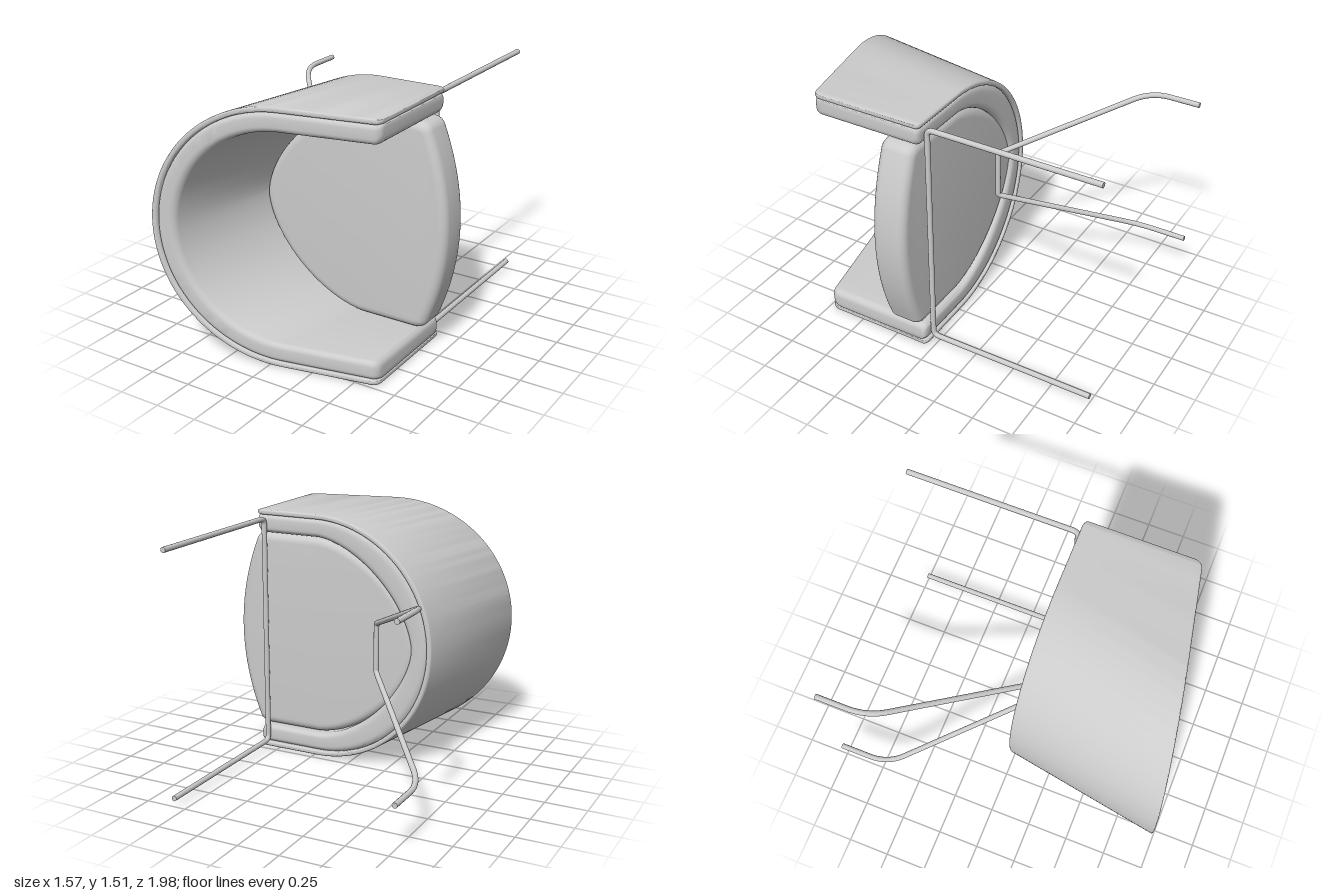
import * as THREE from 'three';
import { toCreasedNormals } from 'three/addons/utils/BufferGeometryUtils.js';

const grey = new THREE.MeshStandardMaterial({ color: 0xcccccc });
const HALF = 0.755, FRONT = 0.63, BOTTOM = 0.04;
const lerp = THREE.MathUtils.lerp;

function mesh(name, geometry) {
  const m = new THREE.Mesh(geometry, grey);
  m.name = name;
  return m;
}

// Half-round with exponent n (2 = circle); a runs from 0 (left side) to PI (right side)
function arcPoint(a, cx, rx, ry, n) {
  const s = Math.sin(a), c = Math.cos(a);
  return [cx - rx * Math.pow(Math.max(s, 0), 2 / n), ry * Math.sign(c) * Math.pow(Math.abs(c), 2 / n)];
}

// Point on the U-shaped path, d inward from the outside, at the rim or at the bottom
function pathPoint(st, d, atRim) {
  const cx = atRim ? 0.075 : 0.235;
  const n = atRim ? 2 : lerp(2, 1.62, THREE.MathUtils.clamp((d - 0.03) / 0.11, 0, 1));
  const r = HALF - d;
  if (st.side) return [lerp(cx, FRONT - st.back, st.f), st.side * r];
  return arcPoint(st.a, cx, r, r, n);
}

// Stations from the left front end, round the back, to the right front end
function stations(endRadius) {
  const end = [];
  for (let i = 0; i <= 6; i++) {
    const a = (i / 6) * Math.PI / 2;
    end.push({ f: 1, back: endRadius * (1 - Math.cos(a)), inset: 1 - Math.sin(a) });
  }
  for (let i = 5; i >= 1; i--) end.push({ f: i / 6, back: endRadius, inset: 0 });
  const list = end.map((e) => ({ ...e, side: 1 }));
  for (let i = 0; i <= 72; i++) list.push({ a: (i / 72) * Math.PI, inset: 0 });
  return list.concat(end.map((e) => ({ ...e, side: -1 })).reverse());
}

// One layer of the wraparound wall: a rounded section swept round the U
function wallLayer(dOut, dIn, r, low, drop, inset) {
  const pos = [], idx = [], list = stations(0.04);
  let count = 0;
  for (const st of list) {
    const d0 = dOut + inset.out * st.inset, d1 = dIn - inset.inn * st.inset;
    const loop = [];
    // corners: outer bottom, outer top, inner top, inner bottom
    [[d0, 0, 1, -1], [d0, 1, 1, 1], [d1, 1, -1, 1], [d1, 0, -1, -1]].forEach(([d, top, sd, sz], q) => {
      for (let i = 0; i <= 5; i++) {
        const a = (i / 5) * Math.PI / 2;
        const away = q % 2 ? Math.cos(a) : Math.sin(a);
        const rise = q % 2 ? Math.sin(a) : Math.cos(a);
        loop.push([d + sd * r * (1 - away), top, sz * r * (rise - 1)]);
      }
    });
    count = loop.length;
    for (const [d, top, dz] of loop) {
      const A = pathPoint(st, d, true), B = pathPoint(st, d, false);
      const zRim = 0.85 - 0.2 * A[0] - drop;
      const z = (top ? zRim - inset.top * st.inset : low + inset.bottom * st.inset) + dz;
      const t = (z - BOTTOM) / (zRim - BOTTOM);
      pos.push(lerp(B[0], A[0], t), lerp(B[1], A[1], t), z);
    }
  }
  for (let i = 0; i < list.length - 1; i++) {
    for (let j = 0; j < count; j++) {
      const k = (j + 1) % count, a = i * count, b = a + count;
      idx.push(a + j, b + j, b + k, a + j, b + k, a + k);
    }
  }
  // flat end faces
  const last = (list.length - 1) * count;
  for (let j = 1; j < count - 1; j++) {
    idx.push(0, j, j + 1, last, last + j + 1, last + j);
  }
  const g = new THREE.BufferGeometry();
  g.setAttribute('position', new THREE.Float32BufferAttribute(pos, 3));
  g.setIndex(idx);
  return toCreasedNormals(g, 0.65);
}

function seatGeometry() {
  const s = new THREE.Shape();
  s.moveTo(0.58, -0.613);
  s.quadraticCurveTo(0.65, -0.613, 0.667, -0.56);
  s.quadraticCurveTo(0.893, 0, 0.667, 0.56);
  s.quadraticCurveTo(0.65, 0.613, 0.58, 0.613);
  for (let i = 0; i <= 48; i++) s.lineTo(...arcPoint((i / 48) * Math.PI, 0.25, 0.665, 0.613, 1.68));
  s.closePath();
  const g = new THREE.ExtrudeGeometry(s, {
    depth: 0.115, bevelThickness: 0.05, bevelSize: 0.05, bevelOffset: -0.05, bevelSegments: 6, curveSegments: 24,
  });
  g.translate(0, 0, 0.115);
  return toCreasedNormals(g, 0.7);
}

// Bent round rod through corner points; bends[i] is the trim at inner corner i
function rod(name, corners, bends, radius) {
  const p = corners.map((c) => new THREE.Vector3(...c));
  const path = new THREE.CurvePath();
  let from = p[0];
  for (let i = 1; i < p.length - 1; i++) {
    const a = p[i].clone().add(p[i - 1].clone().sub(p[i]).setLength(bends[i - 1]));
    const b = p[i].clone().add(p[i + 1].clone().sub(p[i]).setLength(bends[i - 1]));
    path.add(new THREE.LineCurve3(from, a));
    path.add(new THREE.QuadraticBezierCurve3(a, p[i], b));
    from = b;
  }
  path.add(new THREE.LineCurve3(from, p[p.length - 1]));
  const group = new THREE.Group();
  group.name = name;
  group.add(mesh(name + 'Rod', new THREE.TubeGeometry(path, 240, radius, 14, false)));
  // foot caps
  for (const e of [p[0], p[p.length - 1]]) {
    const cap = mesh(name + 'Foot', new THREE.CircleGeometry(radius, 14).rotateY(Math.PI));
    cap.position.copy(e);
    group.add(cap);
  }
  return group;
}

export function createModel() {
  const model = new THREE.Group();
  model.name = 'tubChair';
  const body = new THREE.Group();
  body.name = 'chairBody';
  body.position.y = HALF;
  model.add(body);

  // wraparound back and arms: thin outer shell with a thicker pad inside
  body.add(mesh('outerShell', wallLayer(0, 0.031, 0.011, BOTTOM, 0, { out: 0.006, inn: 0.006, top: 0.04, bottom: 0.02 })));
  body.add(mesh('innerPad', wallLayer(0.029, 0.14, 0.032, 0.045, 0, { out: 0.006, inn: 0.04, top: 0.04, bottom: 0.02 })));
  body.add(mesh('seatCushion', seatGeometry()));

  // front legs joined by a cross bar
  body.add(rod('frontLegs', [[0.57, 0.705, -1], [0.57, 0.705, 0.026], [0.57, -0.705, 0.026], [0.57, -0.705, -1]],
    [0.04, 0.04], 0.016));

  // splayed back legs joined by a short bar
  const half = [[-0.77, 0.48, -0.98], [-0.77, 0.48, -0.675], [-0.18, 0.15, 0.026]];
  const other = half.map(([x, y, z]) => [x, -y, z]).reverse();
  body.add(rod('backLegs', [...half, ...other], [0.12, 0.015, 0.015, 0.12], 0.016));
  return model;
}
